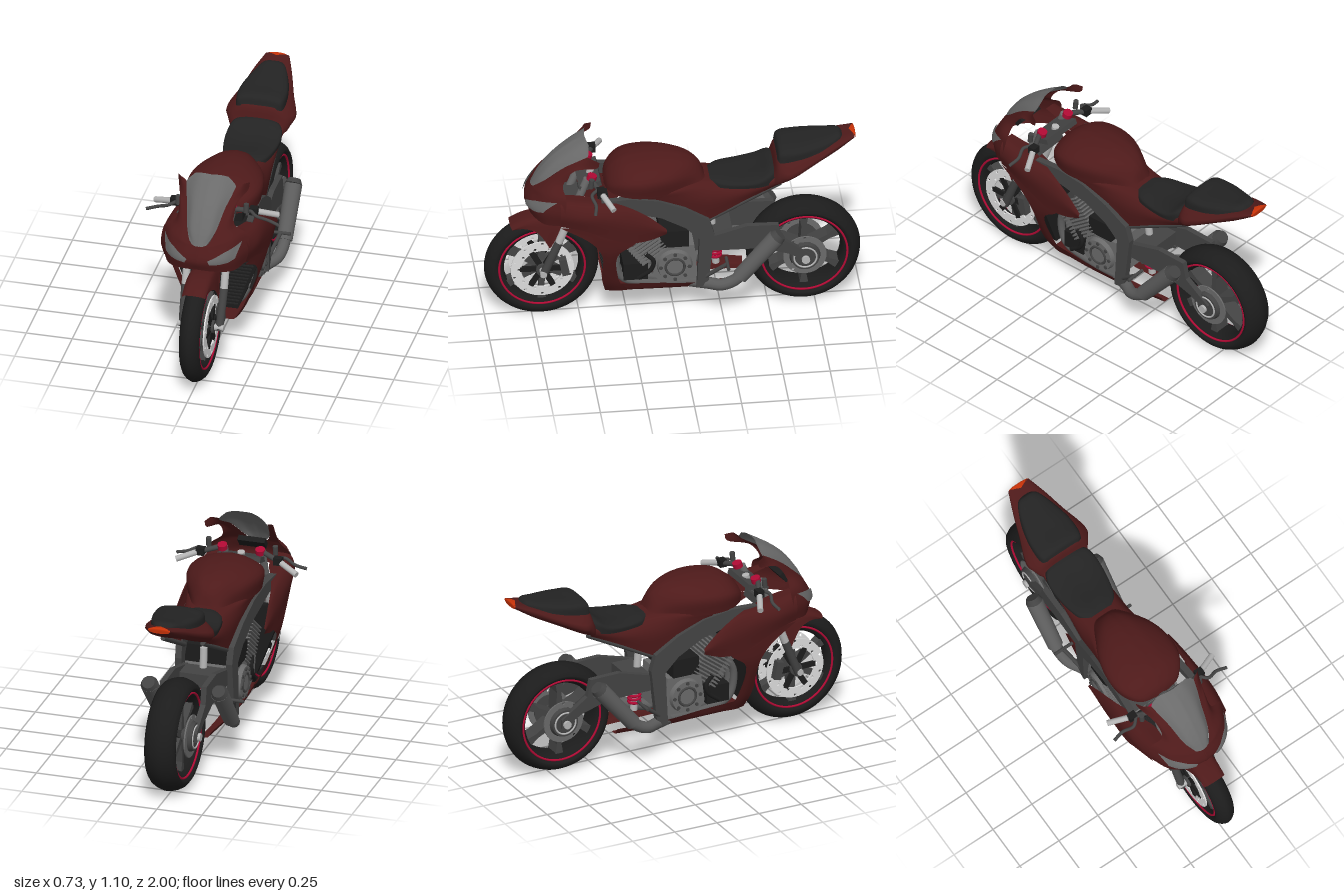
import * as THREE from 'three';
import { mergeVertices } from 'three/addons/utils/BufferGeometryUtils.js';

const V = (p) => new THREE.Vector3(...p);
const mat = (name, color) => new THREE.MeshStandardMaterial({ name, color, side: THREE.DoubleSide });

// Smooth sheet through rows of [x, y, z] points
function sheet(rows, nu = 14, nv = 24) {
  const fine = rows.map((r) => new THREE.CatmullRomCurve3(r.map(V)).getPoints(nu));
  const cols = fine[0].map((_, i) => new THREE.CatmullRomCurve3(fine.map((r) => r[i])).getPoints(nv));
  const pos = [], idx = [], m = nv + 1;
  cols.forEach((c) => c.forEach((p) => pos.push(p.x, p.y, p.z)));
  for (let i = 0; i < nu; i++) for (let j = 0; j < nv; j++) {
    const a = i * m + j, b = a + m;
    idx.push(a, b, a + 1, b, b + 1, a + 1);
  }
  const g = new THREE.BufferGeometry();
  g.setAttribute('position', new THREE.Float32BufferAttribute(pos, 3));
  g.setIndex(idx);
  g.computeVertexNormals();
  // keep shading continuous where the halves meet
  const n = g.attributes.normal;
  for (let i = 0; i < n.count; i++) if (Math.abs(pos[i * 3]) < 1e-5) {
    const v = new THREE.Vector3(0, n.getY(i), n.getZ(i)).normalize();
    n.setXYZ(i, v.x, v.y, v.z);
  }
  return g;
}
// Rows given as z followed by [x, y] pairs
const sections = (list) => sheet(list.map(([z, ...pts]) => pts.map(([x, y]) => [x, y, z])));

function flip(geo) {
  const g = geo.index ? geo.clone() : mergeVertices(geo);
  g.clearGroups();
  g.scale(-1, 1, 1);
  g.setIndex(Array.from(g.index.array).reverse());
  return g;
}
// Side plate from a [z, y] outline, outer face at x
function plate(outline, thick, x) {
  const shape = new THREE.Shape(outline.map(([z, y]) => new THREE.Vector2(z, y)));
  return new THREE.ExtrudeGeometry(shape, { depth: thick, bevelEnabled: false }).rotateY(-Math.PI / 2).translate(x, 0, 0);
}
function rod(a, b, r0, r1 = r0, seg = 16) {
  const A = V(a), d = V(b).sub(A), len = d.length();
  const q = new THREE.Quaternion().setFromUnitVectors(new THREE.Vector3(0, 1, 0), d.normalize());
  return new THREE.CylinderGeometry(r1, r0, len, seg).translate(0, len / 2, 0).applyQuaternion(q).translate(A.x, A.y, A.z);
}
const tube = (pts, r) => new THREE.TubeGeometry(new THREE.CatmullRomCurve3(pts.map(V)), 30, r, 12);
const box = (w, h, d, x, y, z, tilt = 0) => new THREE.BoxGeometry(w, h, d).rotateX(tilt).translate(x, y, z);
const lathe = (pts) => new THREE.LatheGeometry(pts.map((p) => new THREE.Vector2(...p)), 64).rotateZ(Math.PI / 2);

function disc(r, inner) {
  const s = new THREE.Shape().absarc(0, 0, r, 0, Math.PI * 2);
  s.holes.push(new THREE.Path().absarc(0, 0, inner, 0, Math.PI * 2, true));
  for (let i = 0; i < 20; i++) {
    const a = i * Math.PI / 10, m = (r + inner) / 2 + (i % 2 ? 0.015 : -0.015);
    s.holes.push(new THREE.Path().absarc(m * Math.cos(a), m * Math.sin(a), 0.008, 0, Math.PI * 2, true));
  }
  return new THREE.ExtrudeGeometry(s, { depth: 0.008, bevelEnabled: false, curveSegments: 24 }).rotateY(Math.PI / 2);
}

export function createModel() {
  const root = new THREE.Group();
  const red = mat('bodyRed', 0x4e1a1a), black = mat('rubberBlack', 0x1c1c1c), seatBlack = mat('seatBlack', 0x232323);
  const dark = mat('frameGrey', 0x434343), steel = mat('steelGrey', 0x6a6a6a), pipe = mat('exhaustGrey', 0x5c5c5c);
  const light = mat('lightMetal', 0xb4b4b4), white = mat('discSilver', 0xdcdcdc);
  const crimson = mat('crimson', 0xb00a34), orange = mat('tailOrange', 0xc83208);
  function add(name, geo, m, both = false, parent = root) {
    (both ? [geo, flip(geo)] : [geo]).forEach((g) => {
      const mesh = new THREE.Mesh(g, m);
      mesh.name = name;
      parent.add(mesh);
    });
    return parent.children[parent.children.length - 1];
  }

  // Wheels
  function wheel(name, z, w) {
    const g = new THREE.Group();
    g.name = name;
    g.position.set(0, 0.308, z);
    const half = [[0.232, w * 0.8], [0.243, w * 0.96], [0.258, w], [0.278, w * 0.82], [0.293, w * 0.52], [0.301, w * 0.22]];
    add('tyre', lathe([...half.map(([r, a]) => [r, -a]), [0.304, 0], ...half.reverse()]), black, false, g);
    add('rim', lathe([[0.234, -w * 0.8], [0.215, -w * 0.75], [0.2, -w * 0.4], [0.2, w * 0.4], [0.215, w * 0.75], [0.234, w * 0.8]]), black, false, g);
    add('rimStripe', new THREE.TorusGeometry(0.228, 0.006, 8, 64).rotateY(Math.PI / 2).translate(w * 0.82, 0, 0), crimson, true, g);
    add('hub', rod([-w - 0.02, 0, 0], [w + 0.02, 0, 0], 0.035), dark, false, g);
    for (let i = 0; i < 6; i++)
      add('spoke', plate([[-0.022, 0.02], [-0.013, 0.15], [-0.024, 0.21], [0.024, 0.21], [0.013, 0.15], [0.022, 0.02]], w, w / 2).rotateX(i * Math.PI / 3), dark, false, g);
    root.add(g);
    return g;
  }
  const front = wheel('frontWheel', 0.698, 0.055), rear = wheel('rearWheel', -0.693, 0.087);
  add('brakeDisc', disc(0.168, 0.112).translate(0.052, 0, 0), white, true, front);
  for (let i = 0; i < 6; i++) add('discCarrier', box(0.012, 0.1, 0.03, 0.056, 0.07, 0).rotateX(i * Math.PI / 3 + 0.5), black, true, front);
  add('axleCap', rod([0.06, 0, 0], [0.125, 0, 0], 0.018), light, true, front);
  add('sprocketDisc', disc(0.115, 0.07).translate(0.085, 0, 0), steel, true, rear);
  add('rearHub', rod([0.07, 0, 0], [0.115, 0, 0], 0.09, 0.075, 32), dark, true, rear);
  add('hubRing', new THREE.TorusGeometry(0.06, 0.005, 8, 40).rotateY(Math.PI / 2).translate(0.116, 0, 0), light, true, rear);
  add('axleNut', rod([0.11, 0, 0], [0.145, 0, 0], 0.022), light, true, rear);

  // Front fork, calipers and mudguard
  add('forkLower', rod([0.1, 0.29, 0.7], [0.105, 0.5, 0.615], 0.022), dark, true);
  add('forkTube', rod([0.105, 0.48, 0.623], [0.105, 0.7, 0.54], 0.021), light, true);
  add('forkUpper', rod([0.105, 0.68, 0.547], [0.105, 0.89, 0.465], 0.021), steel, true);
  add('caliper', box(0.04, 0.1, 0.04, 0.08, 0.33, 0.585, 0.2), dark, true);
  add('mudguard', sheet([[58, 0.3, 0.06], [70, 0.28, 0.068], [84, 0.24, 0.08], [98, 0.17, 0.088], [104, 0.15, 0.088], [112, 0.25, 0.08], [122, 0.285, 0.07]]
    .map(([deg, low, x]) => [[0, 0.322], [0.045, 0.317], [0.064, 0.302], [x, low]].map(([px, r]) =>
      [px, 0.308 + r * Math.sin(deg * Math.PI / 180), 0.698 + r * Math.cos(deg * Math.PI / 180)]))), red, true);

  // Windscreen and nose cowl
  add('windscreen', sheet([
    [[0, 0.82, 0.757], [0.02, 0.82, 0.754], [0.04, 0.825, 0.745]],
    [[0, 0.885, 0.72], [0.05, 0.885, 0.71], [0.076, 0.88, 0.688]],
    [[0, 0.975, 0.65], [0.06, 0.975, 0.632], [0.103, 0.97, 0.585]],
    [[0, 1.06, 0.545], [0.07, 1.055, 0.525], [0.135, 1.04, 0.47]],
    [[0, 1.1, 0.47], [0.05, 1.1, 0.465], [0.09, 1.09, 0.455]]]), steel, true);
  const cowl = sheet([
    [[0, 0.69, 0.775], [0.09, 0.682, 0.76], [0.175, 0.667, 0.7], [0.228, 0.68, 0.6]],
    [[0, 0.74, 0.79], [0.1, 0.745, 0.77], [0.18, 0.745, 0.71], [0.24, 0.75, 0.6]],
    [[0, 0.82, 0.757], [0.09, 0.81, 0.742], [0.17, 0.81, 0.695], [0.232, 0.81, 0.59]],
    [[0.04, 0.825, 0.745], [0.11, 0.835, 0.72], [0.17, 0.845, 0.67], [0.215, 0.845, 0.59]],
    [[0.076, 0.88, 0.688], [0.112, 0.885, 0.67], [0.14, 0.89, 0.64], [0.158, 0.89, 0.6]],
    [[0.103, 0.97, 0.585], [0.128, 0.97, 0.572], [0.145, 0.975, 0.555], [0.155, 0.975, 0.54]],
    [[0.121, 1.01, 0.527], [0.14, 1.01, 0.511], [0.165, 1.01, 0.475], [0.19, 1.01, 0.42]],
    [[0.135, 1.045, 0.47], [0.15, 1.05, 0.46], [0.17, 1.055, 0.45], [0.195, 1.045, 0.41]]], 24, 48);
  const cowlMesh = add('noseCowl', cowl, red);
  add('noseCowl', flip(cowl), red);

  // Headlights laid on the cowl
  const ray = new THREE.Raycaster();
  const onCowl = (x, y) => {
    ray.set(V([x, y, 2]), V([0, 0, -1]));
    const hit = ray.intersectObject(cowlMesh)[0];
    return [x, y, (hit ? hit.point.z : 0.6) + 0.009];
  };
  const lampTop = [[0.056, 0.755], [0.095, 0.773], [0.13, 0.79], [0.17, 0.805], [0.21, 0.818]];
  const lampLow = [[0.068, 0.733], [0.1, 0.733], [0.13, 0.734], [0.16, 0.737], [0.188, 0.748]];
  add('headlight', sheet([0, 0.2, 0.4, 0.6, 0.8, 1].map((t) => lampTop.map(([x, y], i) =>
    onCowl(x + (lampLow[i][0] - x) * t, y + (lampLow[i][1] - y) * t))), 16, 15), steel, true);

  // Side fairings and belly pan
  add('upperFairing', sections([
    [0.62, [0.14, 0.825], [0.215, 0.815], [0.238, 0.75], [0.222, 0.675]],
    [0.5, [0.135, 0.805], [0.22, 0.8], [0.258, 0.74], [0.246, 0.655]],
    [0.38, [0.18, 0.795], [0.23, 0.785], [0.262, 0.73], [0.253, 0.605]],
    [0.26, [0.222, 0.77], [0.242, 0.755], [0.263, 0.69], [0.254, 0.563]],
    [0.15, [0.24, 0.71], [0.25, 0.695], [0.262, 0.655], [0.252, 0.572]],
    [0.06, [0.25, 0.635], [0.255, 0.63], [0.258, 0.622], [0.25, 0.605]]]), red, true);
  add('lowerFairing', sheet([
    [[0.222, 0.665, 0.62], [0.243, 0.66, 0.48], [0.25, 0.62, 0.3]],
    [[0.24, 0.57, 0.46], [0.247, 0.565, 0.36], [0.25, 0.565, 0.22]],
    [[0.232, 0.48, 0.4], [0.236, 0.48, 0.36], [0.236, 0.48, 0.315]],
    [[0.165, 0.3, 0.395], [0.175, 0.3, 0.35], [0.172, 0.3, 0.31]],
    [[0.14, 0.24, 0.385], [0.15, 0.24, 0.34], [0.15, 0.24, 0.29]],
    [[0.1, 0.175, 0.37], [0.115, 0.175, 0.32], [0.12, 0.18, 0.24]]]), red, true);
  add('bellyPan', sections([
    [0.37, [0, 0.17], [0.07, 0.17], [0.1, 0.175], [0.135, 0.235]],
    [0.25, [0, 0.17], [0.08, 0.17], [0.115, 0.178], [0.145, 0.235]],
    [0.1, [0.04, 0.17], [0.09, 0.171], [0.13, 0.185], [0.155, 0.235]],
    [-0.1, [0.05, 0.165], [0.08, 0.165], [0.11, 0.17], [0.145, 0.215]],
    [-0.38, [0.04, 0.165], [0.06, 0.165], [0.08, 0.167], [0.1, 0.2]]]), red, true);

  // Radiator with cooling slats
  const rad = new THREE.Shape([[-0.17, 0.64], [0.17, 0.64], [0.23, 0.53], [0.12, 0.24], [-0.12, 0.24], [-0.23, 0.53]].map((p) => new THREE.Vector2(...p)));
  add('radiator', new THREE.ExtrudeGeometry(rad, { depth: 0.04, bevelEnabled: false }).translate(0, 0, 0.33), black);
  for (let i = 0; i < 18; i++) {
    const y = 0.27 + i * 0.02, w = y < 0.53 ? 0.24 + (y - 0.24) * 0.7 : 0.44 - (y - 0.53) * 1.05;
    add('radiatorSlat', box(w - 0.02, 0.006, 0.008, 0, y, 0.373), seatBlack);
  }

  // Fuel tank, side covers and tail
  add('fuelTank', sections([
    [0.37, [0, 0.83], [0.01, 0.83], [0.02, 0.82], [0.03, 0.81]],
    [0.35, [0, 0.885], [0.06, 0.875], [0.11, 0.845], [0.115, 0.81]],
    [0.28, [0, 0.945], [0.09, 0.93], [0.175, 0.88], [0.17, 0.8]],
    [0.18, [0, 0.965], [0.1, 0.95], [0.198, 0.89], [0.19, 0.795]],
    [0.04, [0, 0.965], [0.09, 0.95], [0.172, 0.89], [0.165, 0.795]],
    [-0.07, [0, 0.94], [0.07, 0.925], [0.115, 0.87], [0.12, 0.805]],
    [-0.135, [0, 0.895], [0.035, 0.885], [0.07, 0.85], [0.09, 0.81]],
    [-0.165, [0, 0.825], [0.025, 0.825], [0.045, 0.82], [0.07, 0.805]]]), red, true);
  add('sideCover', sections([
    [0.15, [0.14, 0.82], [0.178, 0.8], [0.175, 0.785], [0.165, 0.76]],
    [0, [0.08, 0.825], [0.155, 0.81], [0.158, 0.77], [0.15, 0.7]],
    [-0.1, [0, 0.825], [0.12, 0.81], [0.145, 0.75], [0.14, 0.65]],
    [-0.19, [0, 0.815], [0.1, 0.805], [0.14, 0.74], [0.13, 0.6]],
    [-0.35, [0, 0.79], [0.11, 0.785], [0.135, 0.75], [0.125, 0.69]],
    [-0.55, [0.1, 0.84], [0.14, 0.835], [0.14, 0.81], [0.12, 0.785]]]), red, true);
  add('tail', sections([
    [-0.525, [0, 0.86], [0.06, 0.86], [0.13, 0.85], [0.14, 0.8], [0.1, 0.79], [0, 0.79]],
    [-0.55, [0, 0.94], [0.09, 0.935], [0.16, 0.87], [0.155, 0.81], [0.1, 0.795], [0, 0.8]],
    [-0.6, [0, 0.955], [0.1, 0.945], [0.19, 0.87], [0.15, 0.825], [0.1, 0.815], [0, 0.82]],
    [-0.75, [0, 0.975], [0.09, 0.97], [0.142, 0.925], [0.11, 0.895], [0.06, 0.89], [0, 0.89]],
    [-0.86, [0, 1.0], [0.07, 1.0], [0.104, 0.98], [0.085, 0.95], [0.05, 0.945], [0, 0.945]],
    [-0.96, [0, 1.03], [0.045, 1.028], [0.065, 1.02], [0.055, 1.008], [0.03, 1.003], [0, 1.003]]]), red, true);
  add('tailLight', sheet([
    [[0, 1.031, -0.935], [0.03, 1.031, -0.949], [0.058, 1.024, -0.96]],
    [[0, 1.031, -0.966], [0.03, 1.029, -0.966], [0.062, 1.02, -0.964]],
    [[0, 1.003, -0.966], [0.03, 1.004, -0.966], [0.052, 1.008, -0.964]]]), orange, true);

  // Seats
  add('riderSeat', sections([
    [-0.19, [0, 0.82], [0.04, 0.82], [0.07, 0.81], [0.08, 0.79]],
    [-0.24, [0, 0.826], [0.06, 0.825], [0.11, 0.81], [0.115, 0.785]],
    [-0.36, [0, 0.822], [0.09, 0.822], [0.14, 0.81], [0.14, 0.785]],
    [-0.45, [0, 0.84], [0.09, 0.84], [0.145, 0.825], [0.145, 0.79]],
    [-0.51, [0, 0.875], [0.08, 0.872], [0.13, 0.855], [0.135, 0.8]],
    [-0.545, [0, 0.88], [0.06, 0.875], [0.1, 0.86], [0.12, 0.81]]]), seatBlack, true);
  add('passengerSeat', sections([
    [-0.545, [0, 0.945], [0.05, 0.945], [0.09, 0.94], [0.1, 0.93]],
    [-0.56, [0, 0.988], [0.06, 0.985], [0.115, 0.97], [0.125, 0.92]],
    [-0.66, [0, 1.0], [0.07, 0.998], [0.125, 0.98], [0.13, 0.935]],
    [-0.8, [0, 1.017], [0.05, 1.015], [0.09, 1.0], [0.1, 0.97]],
    [-0.88, [0, 1.028], [0.03, 1.027], [0.055, 1.015], [0.06, 0.99]],
    [-0.9, [0, 1.01], [0.02, 1.01], [0.03, 1.005], [0.04, 0.995]]]), seatBlack, true);

  // Main frame, subframe and swingarm
  const beam = plate([[0.4, 0.8], [0.25, 0.8], [0.1, 0.77], [-0.05, 0.7], [-0.18, 0.61], [-0.205, 0.52], [-0.17, 0.2], [-0.11, 0.2],
    [-0.125, 0.5], [-0.05, 0.58], [0.08, 0.66], [0.3, 0.73], [0.4, 0.74]], 0.035, 0.175);
  const bp = beam.attributes.position;
  for (let i = 0; i < bp.count; i++) bp.setX(i, bp.getX(i) + bp.getZ(i) * 0.08);
  beam.computeVertexNormals();
  add('mainFrame', beam, dark, true);
  add('airbox', box(0.24, 0.08, 0.4, 0, 0.76, 0.08), black);
  add('subframe', rod([0.12, 0.59, -0.17], [0.11, 0.79, -0.56], 0.013), dark, true);
  add('swingarm', plate([[-0.16, 0.48], [-0.24, 0.5], [-0.38, 0.54], [-0.55, 0.535], [-0.57, 0.44], [-0.72, 0.335], [-0.72, 0.285],
    [-0.6, 0.35], [-0.45, 0.395], [-0.16, 0.4]], 0.03, 0.13), dark, true);
  add('swingarmBridge', box(0.22, 0.08, 0.12, 0, 0.45, -0.25), dark);
  add('shockBody', rod([0, 0.24, -0.23], [0, 0.6, -0.2], 0.02), light);
  for (let i = 0; i < 6; i++)
    add('shockCoil', new THREE.TorusGeometry(0.03, 0.008, 8, 20).rotateX(Math.PI / 2).translate(0, 0.29 + i * 0.02, -0.226), crimson);

  // Engine
  add('crankcase', plate([[0.1, 0.43], [0.02, 0.45], [-0.1, 0.45], [-0.12, 0.24], [0.08, 0.23], [0.12, 0.28]], 0.28, 0.14), steel);
  add('engineCover', rod([0.13, 0.335, 0.005], [0.165, 0.335, 0.005], 0.098, 0.088, 32), steel, true);
  add('coverRing', new THREE.TorusGeometry(0.05, 0.007, 8, 32).rotateY(Math.PI / 2).translate(0.165, 0.335, 0.005), dark, true);
  for (let i = 0; i < 8; i++) {
    const a = i * Math.PI / 4, y = 0.335 + 0.076 * Math.sin(a), z = 0.005 + 0.076 * Math.cos(a);
    add('coverBolt', rod([0.15, y, z], [0.172, y, z], 0.01, 0.01, 8), dark, true);
  }
  add('cylinderBlock', box(0.28, 0.24, 0.13, 0, 0.49, 0.17, 0.65), dark);
  for (let i = 0; i < 12; i++)
    add('coolingFin', box(0.31, 0.007, 0.17, 0, 0.4 + i * 0.0155, 0.11 + i * 0.0118, 0.65), steel);
  add('controlBox', box(0.3, 0.1, 0.15, 0, 0.5, 0.005), black);
  add('oilCooler', box(0.24, 0.1, 0.13, 0, 0.29, 0.21), black);
  add('coolantHose', tube([[0.15, 0.27, 0.2], [0.16, 0.33, 0.13], [0.16, 0.38, 0.12], [0.15, 0.42, 0.16]], 0.012), black, true);

  // Exhaust
  for (const x of [0.04, 0.1]) add('headerPipe', tube([[x, 0.5, 0.25], [x, 0.4, 0.31], [x, 0.25, 0.28], [x, 0.205, 0.12], [0.1, 0.2, -0.1]], 0.02), pipe, true);
  add('linkPipe', tube([[0.1, 0.2, -0.08], [0.14, 0.205, -0.17], [0.18, 0.215, -0.24], [0.195, 0.25, -0.31], [0.195, 0.3, -0.355]], 0.032), pipe, true);
  add('muffler', rod([0.195, 0.27, -0.335], [0.195, 0.5, -0.53], 0.042, 0.047, 24), pipe, true);
  add('mufflerTip', rod([0.195, 0.5, -0.53], [0.195, 0.52, -0.55], 0.047, 0.035, 24), dark, true);
  add('footpeg', rod([0.13, 0.35, -0.27], [0.245, 0.35, -0.27], 0.009), dark, true);
  add('pegBracket', rod([0.15, 0.25, -0.15], [0.19, 0.35, -0.27], 0.011), dark, true);

  // Handlebars and controls
  add('tripleClamp', box(0.24, 0.03, 0.12, 0, 0.85, 0.45, 0.3), dark);
  add('lowerClamp', box(0.25, 0.04, 0.08, 0, 0.71, 0.53, 0.3), dark);
  add('dashboard', box(0.15, 0.06, 0.03, 0, 0.86, 0.63, -0.7), black);
  add('adjuster', rod([0.105, 0.885, 0.445], [0.105, 0.912, 0.437], 0.026), crimson, true);
  add('ignition', rod([0, 0.86, 0.44], [0, 0.885, 0.435], 0.02), light);
  add('handlebar', rod([0.11, 0.895, 0.45], [0.24, 0.865, 0.395], 0.014), dark, true);
  add('switchPod', box(0.045, 0.04, 0.04, 0.215, 0.873, 0.405), black, true);
  add('grip', rod([0.235, 0.866, 0.397], [0.335, 0.832, 0.35], 0.016), light, true);
  add('lever', tube([[0.2, 0.88, 0.42], [0.24, 0.87, 0.455], [0.3, 0.845, 0.44], [0.36, 0.828, 0.45]], 0.009), dark, true);
  add('fluidCup', rod([0.185, 0.885, 0.455], [0.185, 0.935, 0.45], 0.014), dark, true);
  return root;
}
